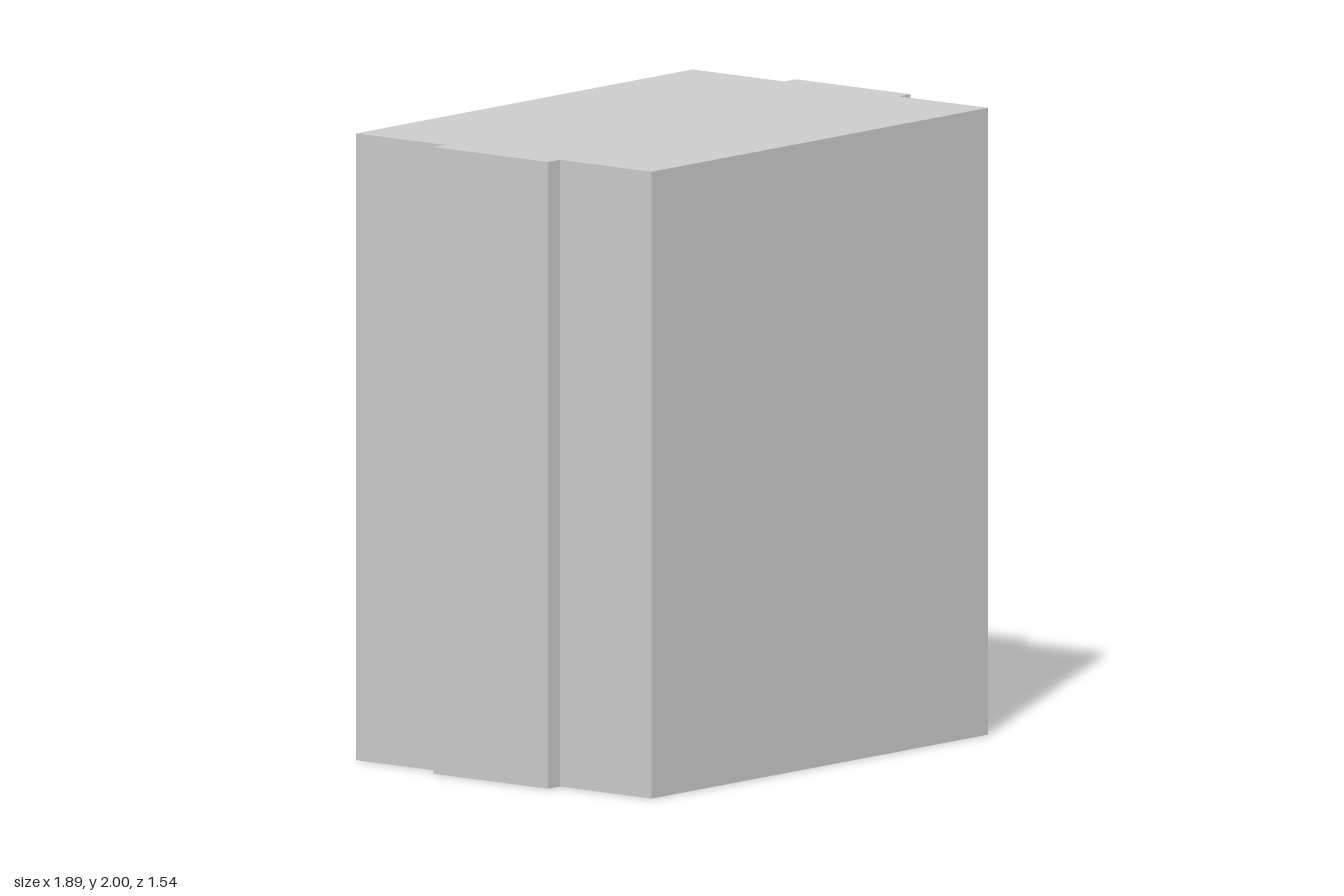
import * as THREE from 'three';

export function createModel() {
  const group = new THREE.Group();
  group.name = 'block';

  // Half of the footprint as (x, z); the other half is its half-turn copy
  const half = [
    [-0.944, -0.41], [0.683, -0.771],  // long back wall
    [0.763, -0.403], [0.819, -0.415],  // step out to the side rib
    [0.919, 0.044], [0.864, 0.057],    // step back in
  ];
  const outline = [...half, ...half.map(([x, z]) => [-x, -z])];

  // Upright prism, standing on the ground
  const shape = new THREE.Shape(outline.map(([x, z]) => new THREE.Vector2(x, -z)));
  const geometry = new THREE.ExtrudeGeometry(shape, { depth: 2, bevelEnabled: false });
  geometry.rotateX(-Math.PI / 2);

  const body = new THREE.Mesh(
    geometry,
    new THREE.MeshStandardMaterial({ color: 0xcccccc, flatShading: true })
  );
  body.name = 'bodyWithSideRibs';
  group.add(body);
  return group;
}
